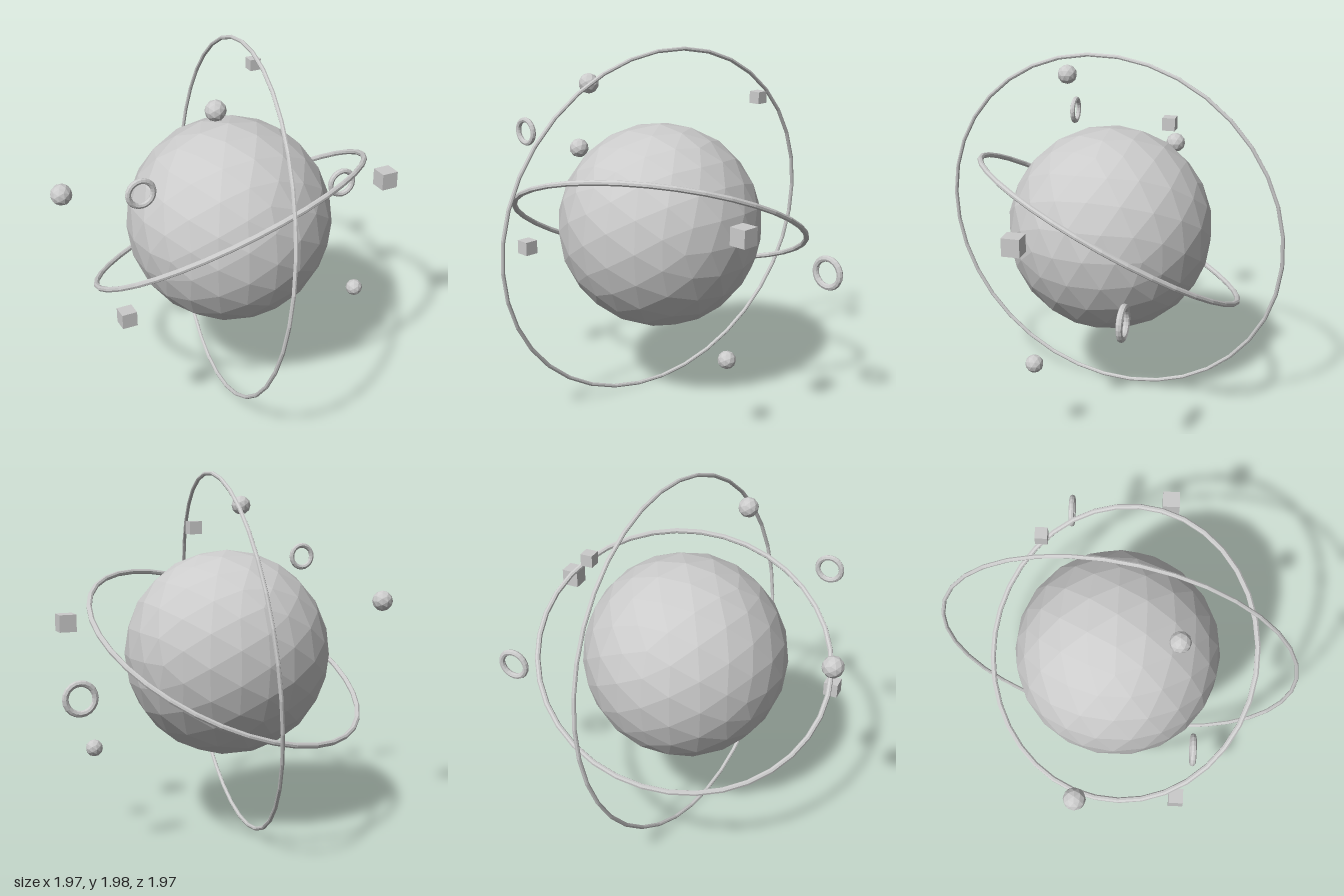
import * as THREE from 'three';

export function createModel() {
  const model = new THREE.Group();
  const material = new THREE.MeshStandardMaterial({ color: 0xcccccc, flatShading: true });

  const add = (name, geometry, position) => {
    const mesh = new THREE.Mesh(geometry, material);
    mesh.name = name;
    mesh.position.set(...position);
    model.add(mesh);
    return mesh;
  };

  // Faceted planet
  const centre = [-0.042, 1.005, 0];
  add('planet', new THREE.IcosahedronGeometry(0.567, 3), centre);

  // Two large orbit rings, each turned so its axis follows the given normal
  const orbits = [
    ['innerOrbit', 0.814, 0.015, [-0.265, 0.864, -0.43]],
    ['outerOrbit', 0.988, 0.011, [0.984, -0.103, 0.148]],
  ];
  const zAxis = new THREE.Vector3(0, 0, 1);
  for (const [name, radius, tube, normal] of orbits) {
    const ring = add(name, new THREE.TorusGeometry(radius, tube, 8, 36), centre);
    ring.quaternion.setFromUnitVectors(zAxis, new THREE.Vector3(...normal).normalize());
  }

  // Floating faceted moons
  const moons = [
    [0.055, [-0.265, 1.805, 0.31]],
    [0.059, [-0.93, 1.27, -0.18]],
    [0.048, [0.665, 0.475, 0.22]],
  ];
  moons.forEach(([r, p], i) => add(`moon${i + 1}`, new THREE.IcosahedronGeometry(r, 1), p));

  // Floating cubes
  const cubes = [
    [0.064, [0.31, 1.715, -0.4]],
    [0.095, [0.8, 1.18, 0.265]],
    [0.08, [-0.795, 0.782, 0.35]],
  ];
  cubes.forEach(([s, p], i) => add(`cube${i + 1}`, new THREE.BoxGeometry(s, s, s), p));

  // Floating small rings, facing forward
  const hoops = [
    [0.066, 0.015, [-0.708, 1.492, 0.398]],
    [0.078, 0.017, [0.887, 0.87, -0.312]],
  ];
  hoops.forEach(([r, t, p], i) => add(`hoop${i + 1}`, new THREE.TorusGeometry(r, t, 8, 20), p));

  return model;
}
